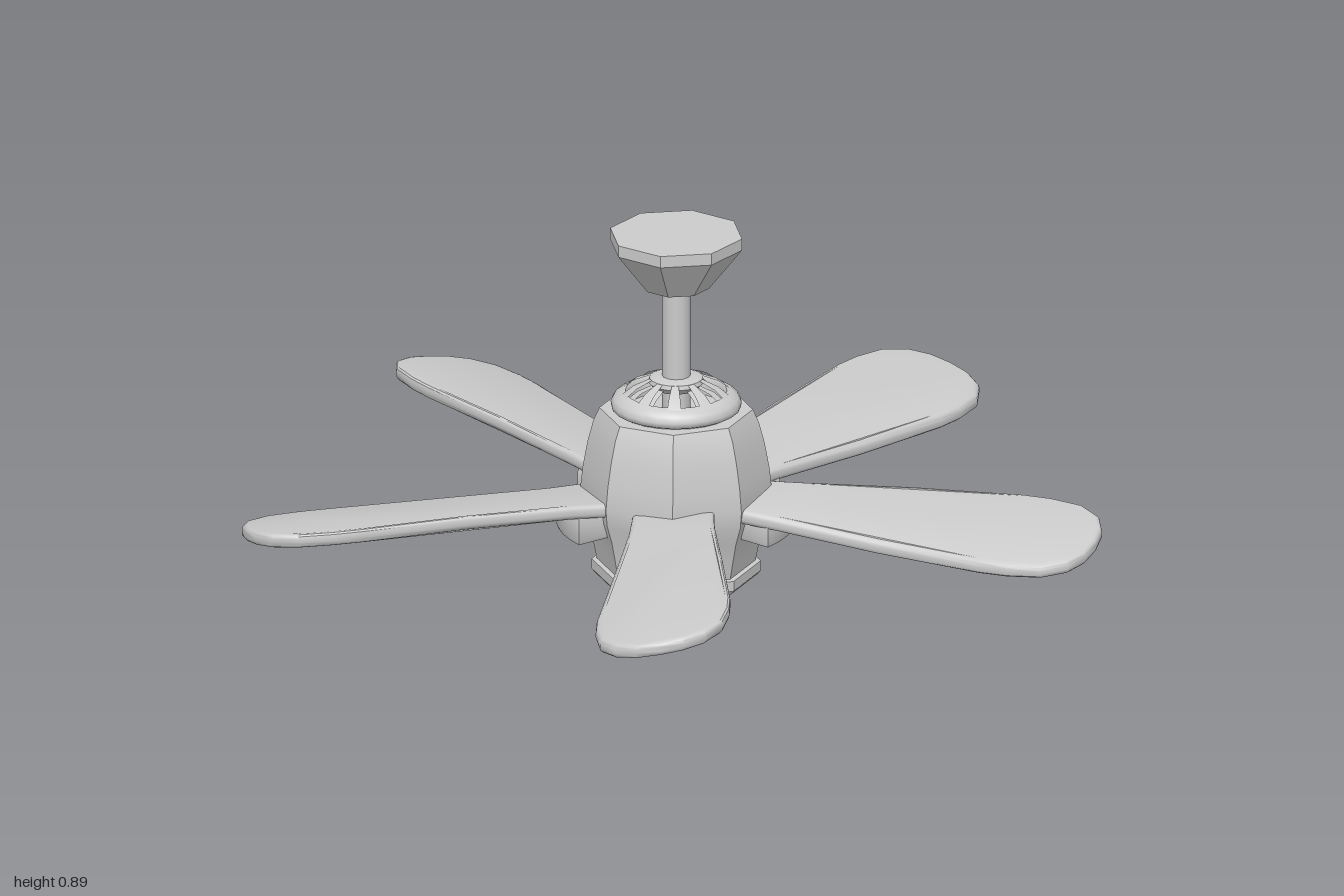
import * as THREE from 'three';
import { toCreasedNormals } from 'three/addons/utils/BufferGeometryUtils.js';

const material = new THREE.MeshStandardMaterial({ color: 0xcccccc });
const openMaterial = new THREE.MeshStandardMaterial({ color: 0xcccccc, side: THREE.DoubleSide });

export function createModel() {
  const model = new THREE.Group();
  model.name = 'ceilingFan';
  model.position.z = -0.085;

  const add = (name, geometry, parent = model, mat = material) => {
    const mesh = new THREE.Mesh(geometry, mat);
    mesh.name = name;
    parent.add(mesh);
    return mesh;
  };

  // Turned part from [radius, height] pairs listed bottom to top
  const turned = (points, sides, start = 0, length = Math.PI * 2, crease = 0.6) =>
    toCreasedNormals(new THREE.LatheGeometry(
      points.map(([r, y]) => new THREE.Vector2(r, y)), sides, start, length), crease);

  // Flat outline drawn in x/z, extruded downwards from the height "top"
  const slab = (shape, top, thickness, bevel, segments) => {
    const geometry = new THREE.ExtrudeGeometry(shape, {
      depth: thickness - 2 * bevel, bevelEnabled: true, bevelThickness: bevel,
      bevelSize: bevel, bevelOffset: -bevel, bevelSegments: segments, curveSegments: 8,
    });
    geometry.rotateX(Math.PI / 2);
    geometry.translate(0, top - bevel, 0);
    return geometry;
  };

  // Octagonal motor housing
  add('motorHousing', turned([
    [0, 0.08], [0.182, 0.08], [0.192, 0.13], [0.203, 0.18], [0.218, 0.225], [0.222, 0.265],
    [0.216, 0.32], [0.205, 0.38], [0.192, 0.43], [0.178, 0.462], [0, 0.462],
  ], 8));

  // Bottom cap with its rim
  add('bottomCap', turned([
    [0, 0.002], [0.06, 0.006], [0.12, 0.018], [0.165, 0.036], [0.19, 0.056],
    [0.196, 0.064], [0.196, 0.088], [0.17, 0.092],
  ], 8));

  // Vented dome: rim, collar and radial ribs
  add('ventRim', turned([
    [0.135, 0.46], [0.15, 0.468], [0.152, 0.48], [0.145, 0.493], [0.13, 0.503],
    [0.118, 0.507], [0.112, 0.5], [0.112, 0.46],
  ], 24, 0, Math.PI * 2, 1));
  add('ventCollar', turned([
    [0.05, 0.515], [0.065, 0.53], [0.062, 0.54], [0.05, 0.545], [0.02, 0.545],
  ], 24));
  const ribCount = 10;
  for (let i = 0; i < ribCount; i++) {
    const start = (i / ribCount) * Math.PI * 2 - 0.13;
    add('ventRib', turned([
      [0.13, 0.485], [0.128, 0.503], [0.1, 0.524], [0.06, 0.54], [0.05, 0.525],
      [0.09, 0.51], [0.115, 0.49], [0.13, 0.485],
    ], 2, start, 0.26), model, openMaterial);
  }

  // Down rod and ceiling canopy
  const rod = add('downRod', new THREE.CylinderGeometry(0.033, 0.033, 0.32, 12));
  rod.position.y = 0.62;
  add('canopy', turned([
    [0, 0.765], [0.078, 0.765], [0.157, 0.867], [0.157, 0.895], [0, 0.895],
  ], 8, -0.2));

  // Blade outline along +z, widening to a rounded tip
  const half = [[0.095, 0.18], [0.1, 0.28], [0.128, 0.54], [0.155, 0.8],
    [0.155, 0.87], [0.142, 0.95], [0.105, 1.005], [0.055, 1.03], [0, 1.036]];
  const outline = [...half, ...half.slice(0, -1).reverse().map(([x, z]) => [-x, z])];
  const bladeShape = new THREE.Shape(outline.map(([x, z]) => new THREE.Vector2(x, z)));
  const blade = slab(bladeShape, 0.272, 0.034, 0.012, 3);

  // Pitch the blade, easing to level at the root
  const p = blade.attributes.position;
  for (let i = 0; i < p.count; i++) {
    const pitch = 0.19 * THREE.MathUtils.smoothstep(p.getZ(i), 0.0, 0.5);
    p.setY(i, p.getY(i) + p.getX(i) * pitch);
  }
  const bladeGeometry = toCreasedNormals(blade, 0.6);

  // Curved bracket hugging the housing under each blade
  const spread = 0.36;
  const bracketShape = new THREE.Shape();
  bracketShape.absarc(0, 0, 0.28, Math.PI / 2 - spread, Math.PI / 2 + spread, false);
  bracketShape.absarc(0, 0, 0.18, Math.PI / 2 + spread, Math.PI / 2 - spread, true);
  bracketShape.closePath();
  const bracketGeometry = toCreasedNormals(slab(bracketShape, 0.256, 0.074, 0.01, 2), 0.6);

  for (let i = 0; i < 5; i++) {
    const arm = new THREE.Group();
    arm.name = 'bladeArm';
    arm.rotation.y = (i / 5) * Math.PI * 2;
    add('blade', bladeGeometry, arm);
    add('bladeBracket', bracketGeometry, arm);
    model.add(arm);
  }

  const root = new THREE.Group();
  root.name = 'ceilingFanModel';
  root.add(model);
  return root;
}
